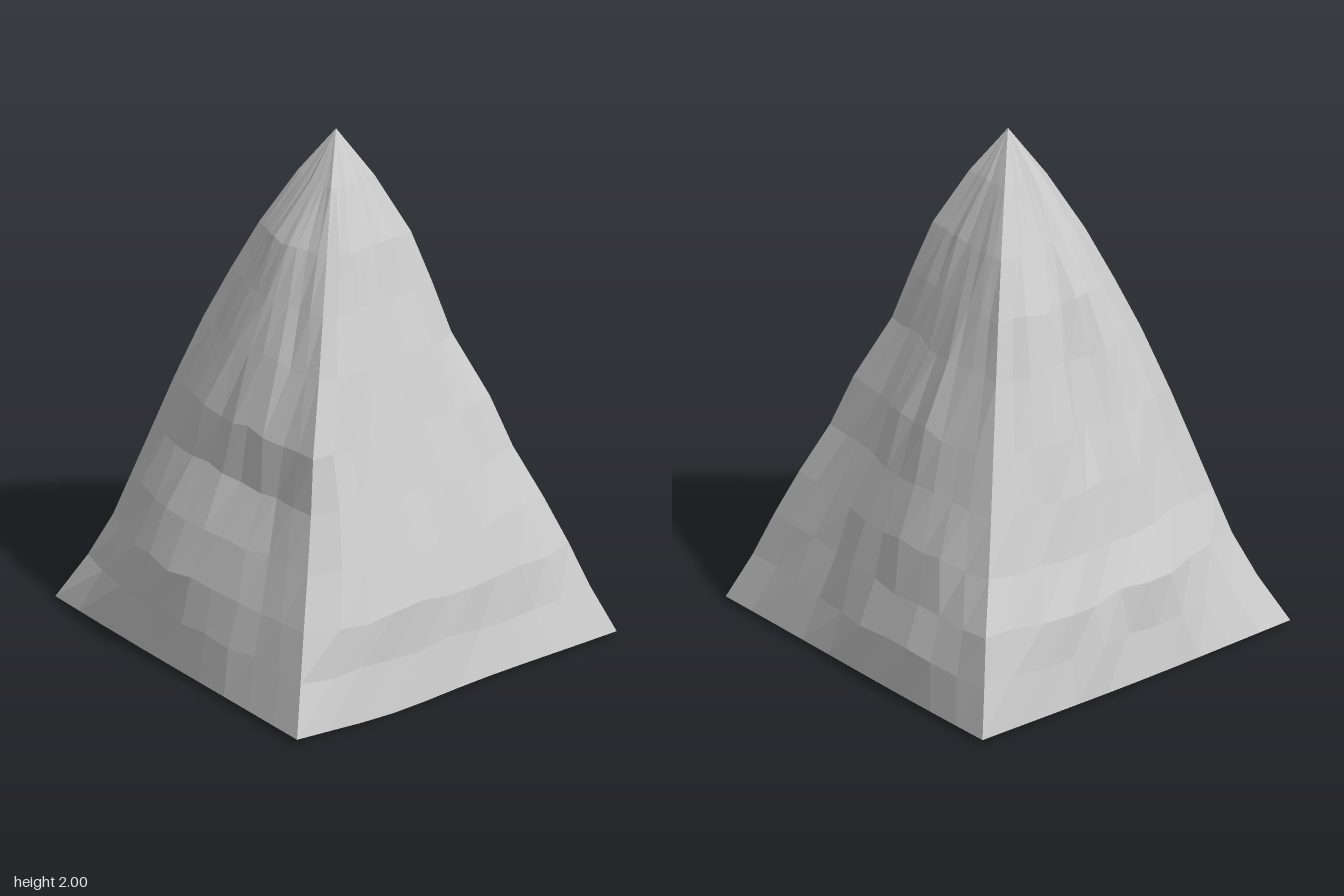
import * as THREE from 'three';

// Heights of the rock courses
const levels = [0.02, 0.2, 0.37, 0.55, 0.75, 0.95, 1.2, 1.4, 1.6, 1.82, 2];
const COLS = 10;

// Distance of each corner ridge from the axis planes, per level
const ridges = [
  [0.73, 0.645, 0.58, 0.53, 0.475, 0.42, 0.345, 0.275, 0.2, 0.1, 0], // front right
  [0.73, 0.665, 0.605, 0.535, 0.468, 0.43, 0.32, 0.245, 0.172, 0.093, 0], // front left
  [0.73, 0.66, 0.605, 0.54, 0.46, 0.4, 0.3, 0.25, 0.195, 0.1, 0], // back left
  [0.73, 0.68, 0.64, 0.555, 0.485, 0.425, 0.345, 0.28, 0.2, 0.1, 0], // back right
];

// Each face: outermost reach per level, where the bulge sits across the face
// (-1..1) at the foot and at the top, its spread, how squarely it meets the
// corners, and hollows as [position, depth]
const faces = [
  { name: 'frontFace', reach: [0.735, 0.72, 0.69, 0.615, 0.515, 0.478, 0.38, 0.31, 0.24, 0.105, 0],
    peak: [-0.35, 0], spread: 0.85, square: 4, hollows: [[0.6, 0.008]], rough: 0.008 },
  { name: 'leftFace', reach: [0.738, 0.695, 0.68, 0.61, 0.535, 0.45, 0.365, 0.28, 0.21, 0.1, 0],
    peak: [-0.4, 0], spread: 1.3, square: 8, hollows: [], rough: 0.004, dip: 0.02 },
  { name: 'backFace', reach: [0.735, 0.715, 0.66, 0.61, 0.535, 0.465, 0.36, 0.28, 0.205, 0.1, 0],
    peak: [0.4, 0.1], spread: 0.8, square: 4, hollows: [[-0.5, 0.008]], rough: 0.007 },
  { name: 'rightFace', reach: [0.742, 0.72, 0.705, 0.63, 0.57, 0.495, 0.405, 0.335, 0.225, 0.105, 0],
    peak: [0, -0.1], spread: 0.75, square: 6, hollows: [[0, 0.04], [0.75, 0.02]], rough: 0.01 },
];

function seeded(seed) {
  return () => {
    seed = (seed * 16807) % 2147483647;
    return (seed / 2147483647) * 2 - 1;
  };
}

const bell = (x, w) => Math.exp(-((x / w) ** 2));
const { lerp } = THREE.MathUtils;

// Grid of points for one face, built facing +z and turned into place
function facePoints(face, index) {
  const rand = seeded(97 + index * 1013);
  const turn = (index * Math.PI) / 2;
  const start = ridges[index], end = ridges[(index + 1) % 4];
  const top = levels.length - 1;
  return levels.map((y, i) => {
    const row = [];
    const middle = Math.sin((Math.PI * i) / top);
    const peak = lerp(...face.peak, i / top);
    for (let j = 0; j <= COLS; j++) {
      const u = (j / COLS) * 2 - 1;
      const inner = 1 - Math.abs(u) ** face.square;
      const chord = lerp(start[i], end[i], j / COLS);
      let out = chord + (face.reach[i] - chord) * bell(u - peak, face.spread) * inner;
      for (const [at, depth] of face.hollows) out -= depth * middle * bell(u - at, 0.22) * inner;
      const a = rand(), b = rand(), c = rand();
      const loose = i > 0 && i < top ? inner * Math.min(1, chord * 3) : 0;
      out += a * face.rough * loose;
      const x = lerp(-start[i], end[i], j / COLS) + b * 0.012 * loose;
      let h = y + c * 0.014 * loose;
      if (i === 0 && face.dip) h -= face.dip * bell(u - peak, 0.4) * inner;
      row.push(new THREE.Vector3(x, h, out).applyAxisAngle(new THREE.Vector3(0, 1, 0), turn));
    }
    return row;
  });
}

function meshFrom(name, triangles, material) {
  const geometry = new THREE.BufferGeometry().setFromPoints(triangles);
  geometry.computeVertexNormals();
  const mesh = new THREE.Mesh(geometry, material);
  mesh.name = name;
  return mesh;
}

export function createModel() {
  const group = new THREE.Group();
  group.name = 'rockPyramid';
  const material = new THREE.MeshStandardMaterial({ color: 0xcccccc, flatShading: true });
  const rim = [];

  // Four craggy sides
  faces.forEach((face, index) => {
    const p = facePoints(face, index);
    const triangles = [];
    for (let i = 0; i < levels.length - 1; i++) {
      for (let j = 0; j < COLS; j++) {
        const a = p[i][j], b = p[i][j + 1], c = p[i + 1][j + 1], d = p[i + 1][j];
        triangles.push(a, b, c);
        if (i < levels.length - 2) triangles.push(a, c, d);
      }
    }
    rim.push(...p[0].slice(0, COLS));
    group.add(meshFrom(face.name, triangles, material));
  });

  // Flat underside fanned from its centre
  const centre = new THREE.Vector3(0, 0.02, 0);
  const under = rim.flatMap((q, k) => [centre, rim[(k + 1) % rim.length], q]);
  group.add(meshFrom('base', under, material));
  return group;
}
